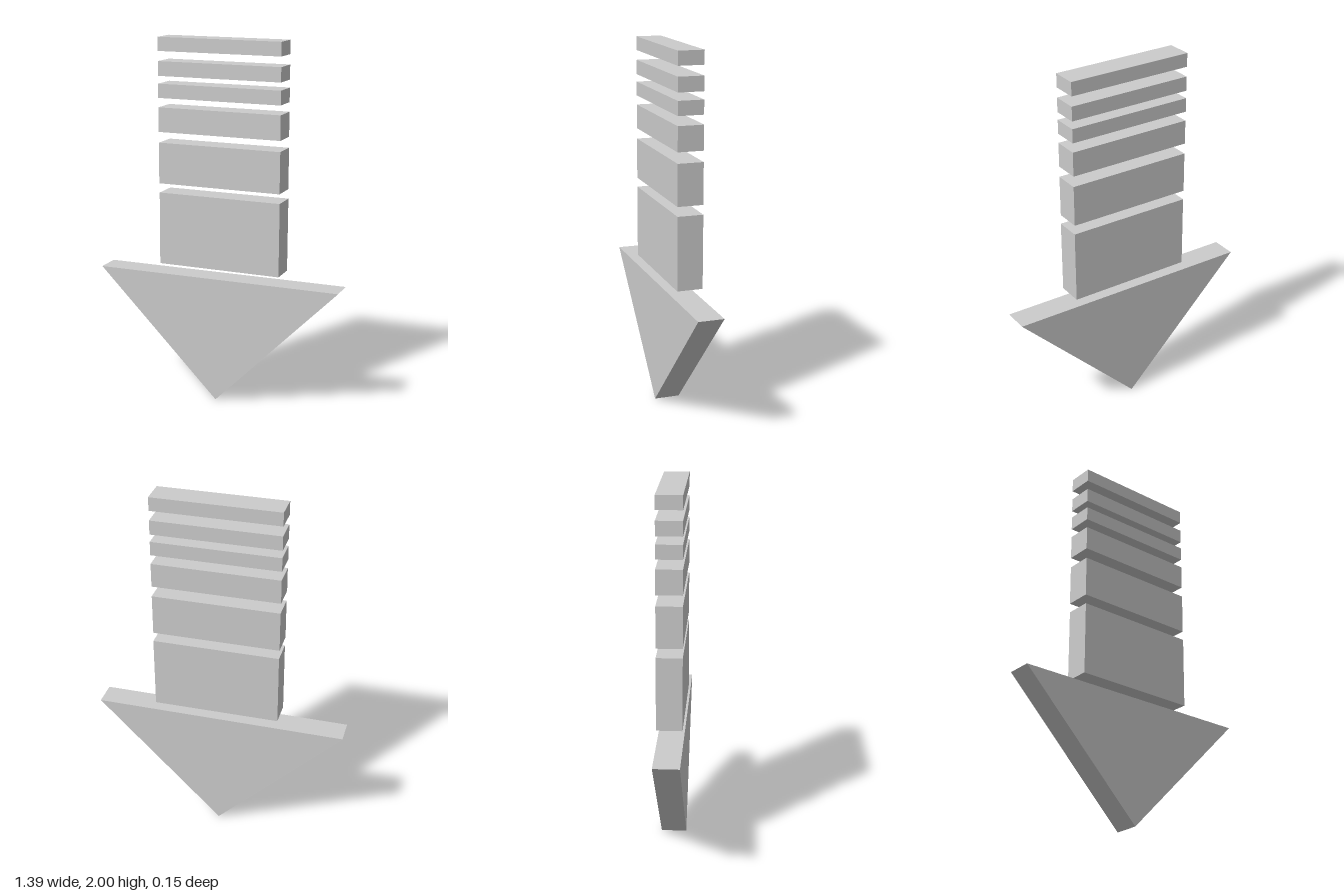
import * as THREE from 'three';

const material = new THREE.MeshStandardMaterial({ color: 0xcccccc, flatShading: true });
const DEPTH = 0.14;

export function createModel() {
  const group = new THREE.Group();
  group.name = 'downArrow';

  // Triangular arrow head, point down
  const outline = new THREE.Shape([
    new THREE.Vector2(0, 0),
    new THREE.Vector2(0.695, 0.7),
    new THREE.Vector2(-0.695, 0.7),
  ]);
  const headGeometry = new THREE.ExtrudeGeometry(outline, { depth: DEPTH, bevelEnabled: false });
  const head = new THREE.Mesh(headGeometry, material);
  head.name = 'arrowHead';
  head.position.z = -0.067;
  group.add(head);

  // Shaft bars [bottom, top], thinning upwards, each with a very slight tilt
  const bars = [
    [0.752, 1.157], [1.205, 1.433], [1.488, 1.625],
    [1.672, 1.752], [1.79, 1.872], [1.922, 2.0],
  ];
  const tilt = -0.005;
  const width = 0.695;
  bars.forEach(([bottom, top], i) => {
    const height = top - bottom - width * Math.abs(tilt);
    const bar = new THREE.Mesh(new THREE.BoxGeometry(width, height, DEPTH), material);
    bar.name = `shaftBar${i + 1}`;
    bar.position.set(0.015, (bottom + top) / 2, -0.003);
    bar.rotation.z = tilt;
    group.add(bar);
  });

  return group;
}
